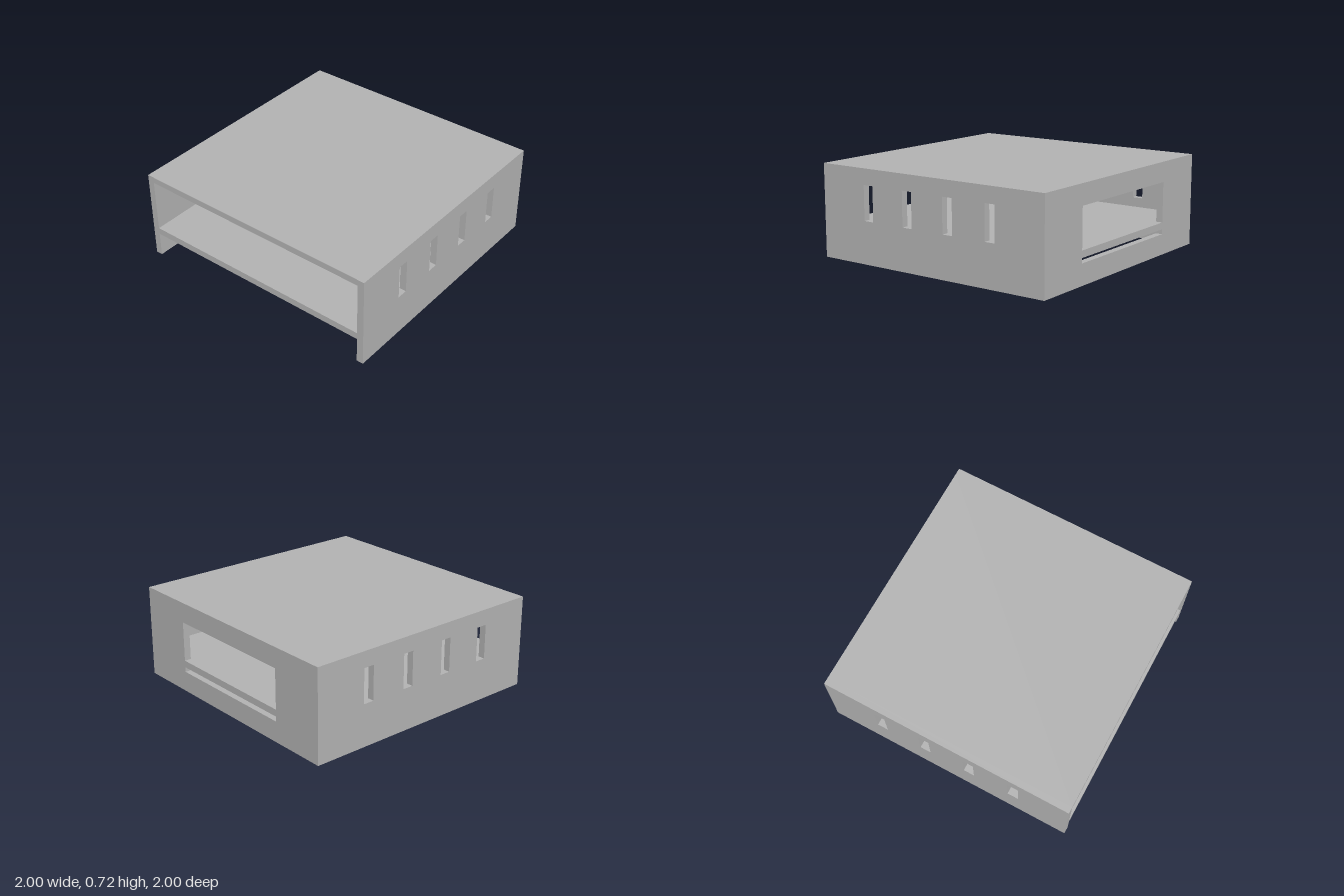
import * as THREE from 'three';

const T = 0.053;          // wall thickness
const H = 0.717;          // overall height
const IN = 1 - T;         // inner half width
const SHELF = [0.198, 0.251];

// Flat panel with rectangular holes; rects are [x0, y0, x1, y1]
function panel(rect, holes) {
  const trace = (path, [x0, y0, x1, y1]) => {
    path.moveTo(x0, y0);
    path.lineTo(x1, y0);
    path.lineTo(x1, y1);
    path.lineTo(x0, y1);
    path.closePath();
    return path;
  };
  const shape = trace(new THREE.Shape(), rect);
  shape.holes = holes.map((h) => trace(new THREE.Path(), h));
  return new THREE.ExtrudeGeometry(shape, { depth: T, bevelEnabled: false });
}

export function createModel() {
  const grey = new THREE.MeshStandardMaterial({ color: 0xb2b2b2 });
  grey.name = 'grey';
  const model = new THREE.Group();
  model.name = 'openFrontedCase';

  const add = (name, geometry, x, y, z) => {
    const mesh = new THREE.Mesh(geometry, grey);
    mesh.name = name;
    mesh.position.set(x, y, z);
    model.add(mesh);
  };

  // Side walls, each with four ventilation slots
  const slots = [-0.551, -0.182, 0.187, 0.556].map((z) => [z - 0.043, 0.327, z + 0.043, 0.594]);
  const side = panel([-1, 0, 1, H], slots).rotateY(-Math.PI / 2);
  add('leftWall', side, 1, 0, 0);
  add('rightWall', side, -IN, 0, 0);

  // Back wall, its opening split by the shelf
  const openings = [[-0.553, SHELF[1], 0.553, 0.561], [-0.553, 0.16, 0.553, SHELF[0]]];
  add('backWall', panel([-IN, 0, IN, H - T + 0.004], openings), 0, 0, -1);

  // Top and inner shelf, both open towards the front
  const topT = T - 0.004;
  add('topPanel', new THREE.BoxGeometry(2 * IN, topT, 2), 0, H - topT / 2, 0);
  const shelfT = SHELF[1] - SHELF[0];
  add('shelf', new THREE.BoxGeometry(2 * IN, shelfT, 2 - T), 0, SHELF[0] + shelfT / 2, T / 2);

  return model;
}
